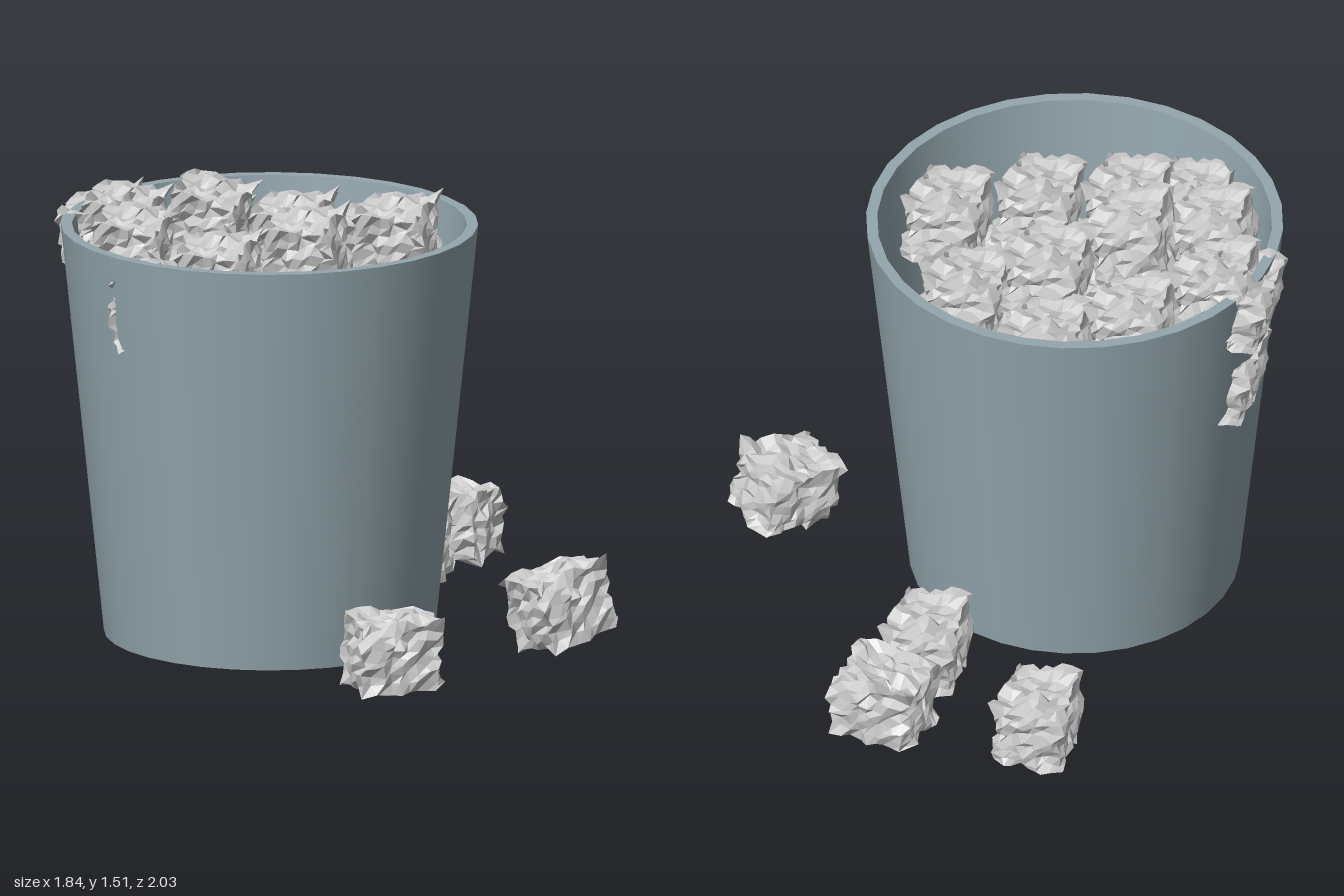
import * as THREE from 'three';
import { mergeGeometries } from 'three/addons/utils/BufferGeometryUtils.js';

// Repeatable value in -1..1 for a cell of space
function hash(a, b, c) {
  const s = Math.sin(a * 127.1 + b * 311.7 + c * 74.7 + 5.3) * 43758.5453;
  return (s - Math.floor(s)) * 2 - 1;
}

// Tapered, thick-walled bin: each straight piece of the profile is its own band for crisp edges
function binGeometry() {
  const profile = [[0, 0.025], [0.53, 0.025], [0.668, 1.365], [0.632, 1.365], [0.5, 0.06], [0, 0.06]]
    .map(([r, y]) => new THREE.Vector2(r, y));
  const bands = profile.slice(1).map((p, i) => new THREE.LatheGeometry([profile[i], p], 32));
  return mergeGeometries(bands);
}

// Crumpled paper lump: a block whose surface is folded in steps
function paperGeometry() {
  const size = [0.215, 0.215, 0.265];
  const g = new THREE.BoxGeometry(...size, 8, 8, 9);
  const p = g.attributes.position;
  for (let i = 0; i < p.count; i++) {
    const v = [p.getX(i), p.getY(i), p.getZ(i)];
    const k = v.map(c => Math.round(c * 1000));
    const coarse = v.map(c => Math.floor(c / 0.062 + 0.5));
    const out = v.map((c, a) => {
      const u = c / (size[a] / 2);
      const onFace = Math.abs(u) > 0.99;
      const [b, d] = [(a + 1) % 3, (a + 2) % 3];
      // faces step in and out by patch, other directions shift slightly
      const step = onFace ? Math.sign(u) * 0.015 * hash(coarse[b] + a * 9, coarse[d], Math.sign(u)) : 0;
      const fold = 0.01 * hash(k[0] + a * 31, k[1], k[2]);
      return c + step + fold;
    });
    p.setXYZ(i, ...out);
  }
  const flat = g.toNonIndexed();
  flat.computeVertexNormals();
  return flat;
}

export function createModel() {
  const model = new THREE.Group();
  const binMat = new THREE.MeshStandardMaterial({ color: 0x93a6ad });
  const paperMat = new THREE.MeshStandardMaterial({ color: 0xcccccc, flatShading: true });

  const bin = new THREE.Mesh(binGeometry(), binMat);
  bin.name = 'bin';
  bin.position.set(-0.23, 0, 0.17);
  model.add(bin);

  const paper = paperGeometry();
  function addPaper(parent, name, x, y, z, rx = 0, ry = 0, rz = 0) {
    const m = new THREE.Mesh(paper, paperMat);
    m.name = name;
    m.position.set(x, y, z);
    m.rotation.set(rx, ry, rz, 'YXZ');
    parent.add(m);
  }

  // Papers heaped in the bin: x, y, z, sideways tilt
  const heap = new THREE.Group();
  heap.name = 'paperHeap';
  model.add(heap);
  const top = [
    [-0.26, 1.2, -0.28, 0], [-0.50, 1.22, -0.12, -0.05], [0.05, 1.23, -0.13, 0.1],
    [-0.19, 1.28, -0.01, 0.05], [-0.74, 1.29, 0.04, -0.1], [-0.44, 1.36, 0.14, -0.22],
    [0.18, 1.33, 0.13, 0.03], [-0.65, 1.29, 0.30, -0.1], [-0.08, 1.31, 0.29, 0.08],
    [-0.33, 1.25, 0.44, 0.05], [-0.52, 1.18, 0.56, 0],
  ];
  for (const [x, y, z, tilt] of top) addPaper(heap, 'topPaper', x, y, z, 0.1, 0, tilt);

  // Lower layers, drawn in as the bin narrows
  for (let layer = 1; layer < 5; layer++) {
    const s = 0.93 - layer * 0.075;
    for (const [x, y, z, tilt] of top) {
      addPaper(heap, 'lowerPaper', -0.21 + (x + 0.21) * s, y - layer * 0.235, 0.14 + (z - 0.14) * s, 0.05, 0, tilt);
    }
  }
  // Two lumps pressed through the side wall
  addPaper(heap, 'wallPaper', -0.8, 1.27, 0.04, 0.1, 0, 0.2);
  addPaper(heap, 'wallPaper', -0.745, 0.95, 0.06, 0.1, 0, 0.15);

  // Papers that missed the bin: x, y, z, rx, ry, rz
  const floorPapers = [
    [-0.38, 0.15, -0.85, 0, 0, 0], [0.12, 0.15, -0.865, 0, 1.4, 0], [0.065, 0.15, -0.555, 0, 0, 0],
    [0.715, 0.155, 0.12, 0.2, -0.68, 0.15], [0.325, 0.15, 0.825, 0, -1.0, 0],
  ];
  for (const f of floorPapers) addPaper(model, 'floorPaper', ...f);
  return model;
}
